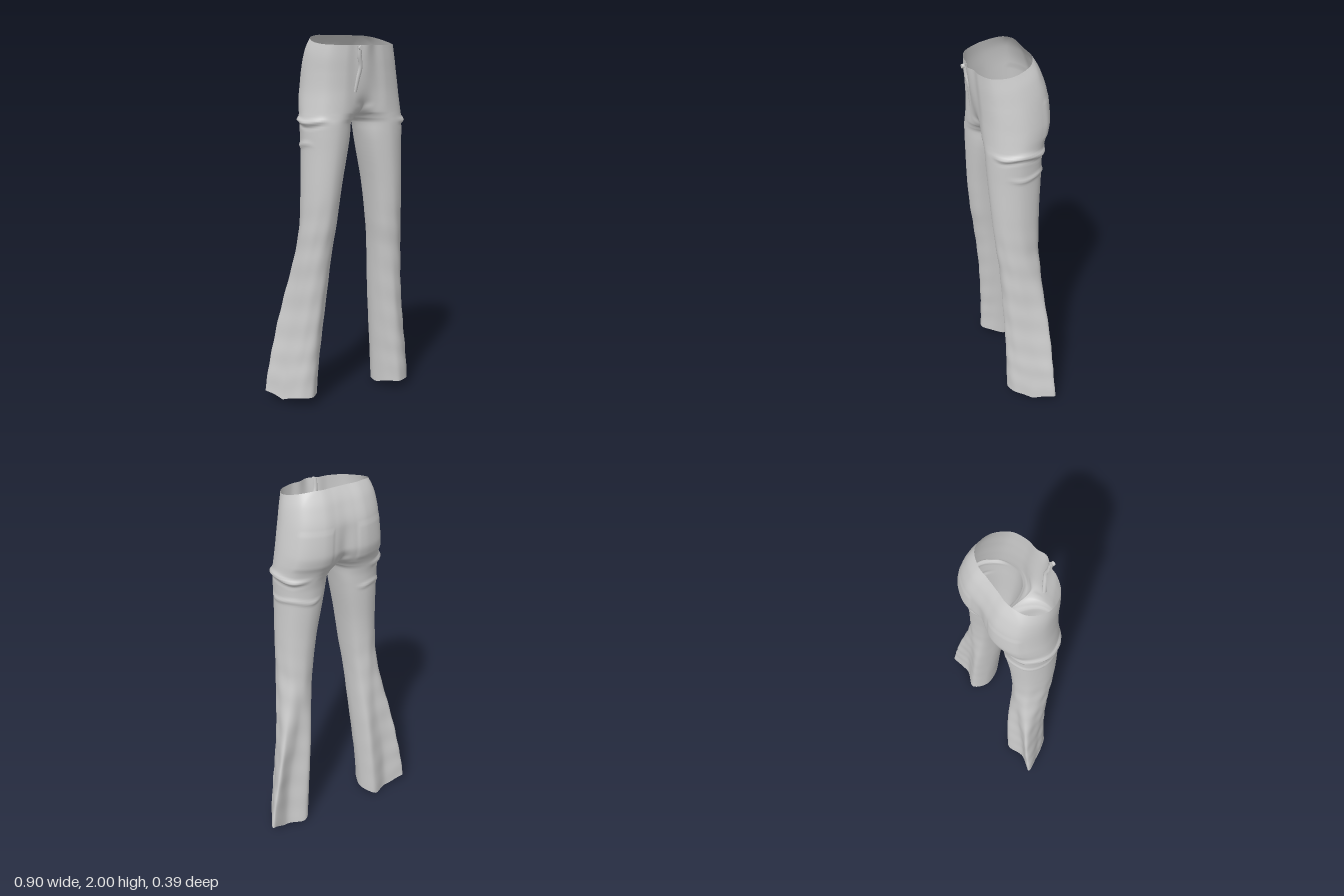
import * as THREE from 'three';
import { mergeVertices } from 'three/addons/utils/BufferGeometryUtils.js';

const ROWS = 190, COLS = 80;
const lerp = THREE.MathUtils.lerp;
const smooth = (v, a, b) => THREE.MathUtils.smoothstep(v, a, b);
const band = (v, a, b, c, d) => smooth(v, a, b) * (1 - smooth(v, c, d));
const bell = (v, c, w) => Math.exp(-(((v - c) / w) ** 2));

// Leg and hip sections: y, inner x, outer x, front z, back z, centre-front z, centre-back z, flare
const SECTIONS = [
  [0.0, 0.187, 0.45, 0.08, -0.155, -0.075, -0.075, 1],
  [0.2, 0.176, 0.425, 0.08, -0.15, -0.065, -0.065, 0.95],
  [0.4, 0.163, 0.392, 0.082, -0.145, -0.05, -0.05, 0.85],
  [0.6, 0.15, 0.355, 0.088, -0.138, -0.035, -0.035, 0.6],
  [0.86, 0.135, 0.312, 0.103, -0.122, -0.012, -0.012, 0.15],
  [1.0, 0.12, 0.297, 0.118, -0.116, 0, 0, 0],
  [1.2, 0.095, 0.291, 0.135, -0.12, 0, 0, 0],
  [1.4, 0.058, 0.288, 0.146, -0.132, 0, 0, 0],
  [1.5, 0.038, 0.291, 0.15, -0.136, -0.005, -0.005, 0],
  [1.555, 0.024, 0.294, 0.151, -0.145, -0.01, -0.01, 0],
  [1.58, 0, 0.293, 0.151, -0.151, -0.01, -0.01, 0],
  [1.6, 0, 0.29, 0.151, -0.158, 0.075, -0.08, 0],
  [1.64, 0, 0.285, 0.151, -0.174, 0.12, -0.14, 0],
  [1.7, 0, 0.276, 0.151, -0.186, 0.146, -0.17, 0],
  [1.8, 0, 0.26, 0.155, -0.178, 0.165, -0.172, 0],
  [1.88, 0, 0.245, 0.16, -0.147, 0.176, -0.144, 0],
  [1.945, 0, 0.227, 0.163, -0.105, 0.186, -0.105, 0],
];

// Monotone cubic interpolation of the section table
function sectionAt(y) {
  let k = 0;
  while (k < SECTIONS.length - 2 && y > SECTIONS[k + 1][0]) k++;
  const slope = (i, c) => {
    const a = SECTIONS[i], b = SECTIONS[i + 1];
    return a && b ? (b[c] - a[c]) / (b[0] - a[0]) : null;
  };
  const tangent = (i, c) => {
    const l = slope(i - 1, c), r = slope(i, c);
    if (l === null) return r;
    if (r === null) return l;
    return l * r <= 0 ? 0 : (2 * l * r) / (l + r);
  };
  const A = SECTIONS[k], B = SECTIONS[k + 1], h = B[0] - A[0], t = (y - A[0]) / h;
  return A.map((a, c) => c === 0 ? y :
    a * (1 + 2 * t) * (1 - t) ** 2 + B[c] * t * t * (3 - 2 * t) +
    h * (tangent(k, c) * t * (1 - t) ** 2 + tangent(k + 1, c) * t * t * (t - 1)));
}

// Curve from the centre front, round the outside, to the centre back
function sectionCurve(y) {
  const [, xi, xo, zf, zb, cf, cb, f] = sectionAt(y);
  const hip = smooth(y, 1.45, 1.68);
  const p = (u, z) => new THREE.Vector3(lerp(xi, xo, u), 0, z);
  const across = v => lerp(zf, zb, v);
  const pts = [
    p(0, cf),
    p(lerp(lerp(0.12, 0.24, hip), 0.1, f), lerp(cf, zf, lerp(lerp(0.75, 0.82, hip), 0.64, f))),
    p(lerp(0.47, 0.32, f), zf),
    p(lerp(0.82, 0.58, f), across(lerp(0.14, 0.11, f))),
    p(lerp(1, 0.8, f), across(0.48)),
    p(lerp(0.86, 1, f), across(lerp(0.85, 0.96, f))),
    p(lerp(0.48, 0.6, f), across(lerp(1, 0.83, f))),
    p(lerp(lerp(0.12, 0.2, hip), 0.16, f), lerp(cb, zb, lerp(0.77, 0.92, f))),
    p(0, cb),
  ];
  // End handles close the leg loop, or mirror across the middle at the hips
  const mirror = v => new THREE.Vector3(-v.x, 0, v.z);
  const join = smooth(y, 1.57, 1.66);
  const first = pts[7].clone().lerp(mirror(pts[1]), join);
  const last = pts[1].clone().lerp(mirror(pts[7]), join);
  return new THREE.CatmullRomCurve3([first, ...pts, last]);
}

function trouserGeometry() {
  const pos = [], index = [];
  for (const side of [1, -1]) {
    const base = pos.length / 3;
    for (let i = 0; i <= ROWS; i++) {
      const y0 = 1.945 * i / ROWS, curve = sectionCurve(y0);
      const [, xi, xo] = sectionAt(y0);
      for (let j = 0; j <= COLS; j++) {
        const t = j / COLS, s = (1 + 8 * t) / 10;
        const q = curve.getPoint(s), tan = curve.getTangent(s);

        // Pocket ridges on the thigh, back pockets and soft cloth folds
        const wave = 0.007 * Math.sin(t * 26 + side);
        let d = band(t, 0.3, 0.42, 0.62, 0.74) *
          (0.013 * bell(y0, 1.56 + wave, 0.012) - 0.004 * bell(y0, 1.538 + wave, 0.01));
        d += band(t, 0.4, 0.5, 0.76, 0.84) * 0.007 * bell(y0, 1.44 - wave, 0.011);
        d += 0.003 * band(t, 0.6, 0.62, 0.83, 0.85) * band(y0, 1.62, 1.635, 1.79, 1.8);
        const fold = Math.sin(y0 * 24 + t * 29 + side * 2) * Math.sin(t * 23 - y0 * 13 + side);
        d += Math.sin(Math.PI * t) * (1 - smooth(y0, 0.9, 1.25)) * 0.0025 * fold;
        q.x += tan.z * -d;
        q.z += tan.x * d;

        // Waist rises to the back, hem dips at the middle of the back
        const top = smooth(y0, 1.7, 1.945), hem = 1 - smooth(y0, 0, 0.4);
        const rise = THREE.MathUtils.clamp((0.15 - q.z) / 0.25, 0, 1) ** 1.7;
        const u = (q.x - xi) / (xo - xi);
        const lift = Math.max(0.05 * smooth(q.z, -0.12, 0.06), 0.05 * smooth(u, 0.6, 1), 0.025 * (1 - smooth(u, 0, 0.3)));
        const y = y0 + 0.055 * top * rise + hem * lift;
        const back = side < 0 ? -0.04 * (1 - smooth(y0, 0.1, 1.2)) : 0;
        pos.push(side * q.x - 0.01 * top, y, q.z + back);
      }
    }
    for (let i = 0; i < ROWS; i++) for (let j = 0; j < COLS; j++) {
      const a = base + i * (COLS + 1) + j, b = a + 1, c = a + COLS + 1, e = c + 1;
      if (side > 0) index.push(a, b, e, a, e, c);
      else index.push(a, e, b, a, c, e);
    }
  }
  let g = new THREE.BufferGeometry();
  g.setAttribute('position', new THREE.Float32BufferAttribute(pos, 3));
  g.setIndex(index);
  g = mergeVertices(g, 1e-5);
  g.computeVertexNormals();
  return g;
}

export function createModel() {
  const model = new THREE.Group();
  model.name = 'flaredTrousers';
  const cloth = new THREE.MeshStandardMaterial({ color: 0xcccccc, side: THREE.DoubleSide });
  cloth.name = 'light grey cloth';
  const add = (name, geometry) => {
    const mesh = new THREE.Mesh(geometry, cloth);
    mesh.name = name;
    model.add(mesh);
    return mesh;
  };

  add('trouserShell', trouserGeometry());

  // Fly fold down the front with a waist button
  const path = new THREE.CatmullRomCurve3([
    [-0.052, 1.94, 0.178], [-0.05, 1.89, 0.172], [-0.04, 1.84, 0.164], [-0.05, 1.78, 0.154], [-0.062, 1.71, 0.143],
  ].map(p => new THREE.Vector3(...p)));
  add('flyFold', new THREE.TubeGeometry(path, 32, 0.011, 10));
  const button = add('waistButton', new THREE.CylinderGeometry(0.011, 0.011, 0.012, 20));
  button.rotation.x = Math.PI / 2;
  button.position.set(-0.052, 1.93, 0.189);
  return model;
}
